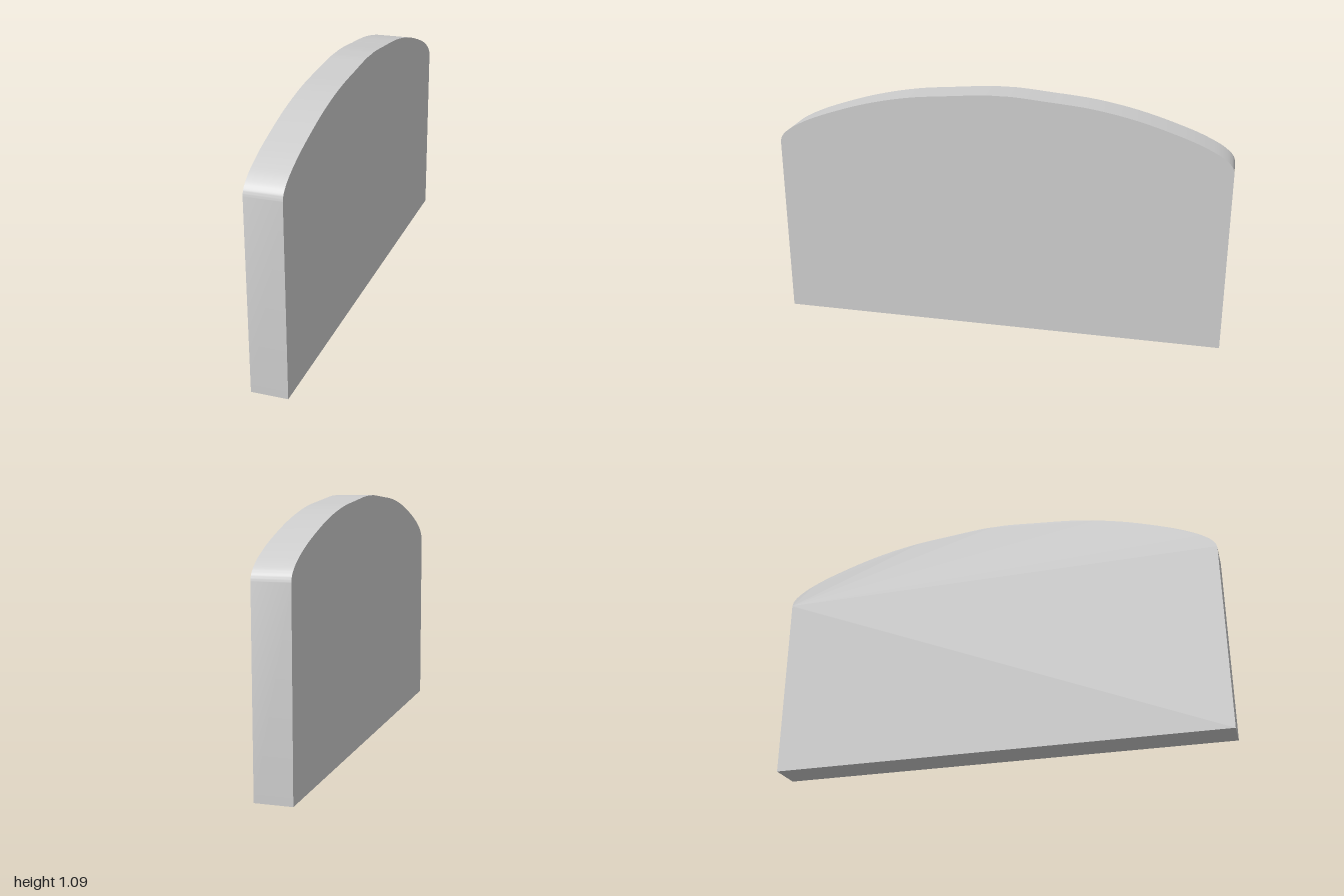
import * as THREE from 'three';
import { toCreasedNormals } from 'three/addons/utils/BufferGeometryUtils.js';

const THICKNESS = 0.155;

// Half of the arched top edge, from the shoulder to the crown
const HALF_ARCH = [
  [1, 0.82], [0.992, 0.845], [0.965, 0.873], [0.91, 0.907], [0.8, 0.954],
  [0.6, 1.017], [0.4, 1.058], [0.2, 1.078], [0.07, 1.089],
];

export function createModel() {
  const group = new THREE.Group();
  group.name = 'archedPanel';

  // Mirror the half arch about the crown and smooth it
  const right = HALF_ARCH.map(([x, y]) => new THREE.Vector2(x, y));
  const left = HALF_ARCH.map(([x, y]) => new THREE.Vector2(-x, y)).reverse();
  const crown = new THREE.Vector2(0, 1.09);
  const arch = new THREE.SplineCurve([...right, crown, ...left]).getPoints(96);

  // Flat base, straight ends and arched top
  const outline = new THREE.Shape([
    new THREE.Vector2(-1, 0), new THREE.Vector2(1, 0), ...arch,
  ]);
  const slab = new THREE.ExtrudeGeometry(outline, { depth: THICKNESS, bevelEnabled: false });
  slab.translate(0, 0, -THICKNESS / 2);
  slab.rotateY(Math.PI / 2);

  // Smooth over the arch, sharp along the faces
  const panel = new THREE.Mesh(
    toCreasedNormals(slab, Math.PI / 5),
    new THREE.MeshStandardMaterial({ color: 0xcccccc }),
  );
  panel.name = 'panel';
  group.add(panel);
  return group;
}
